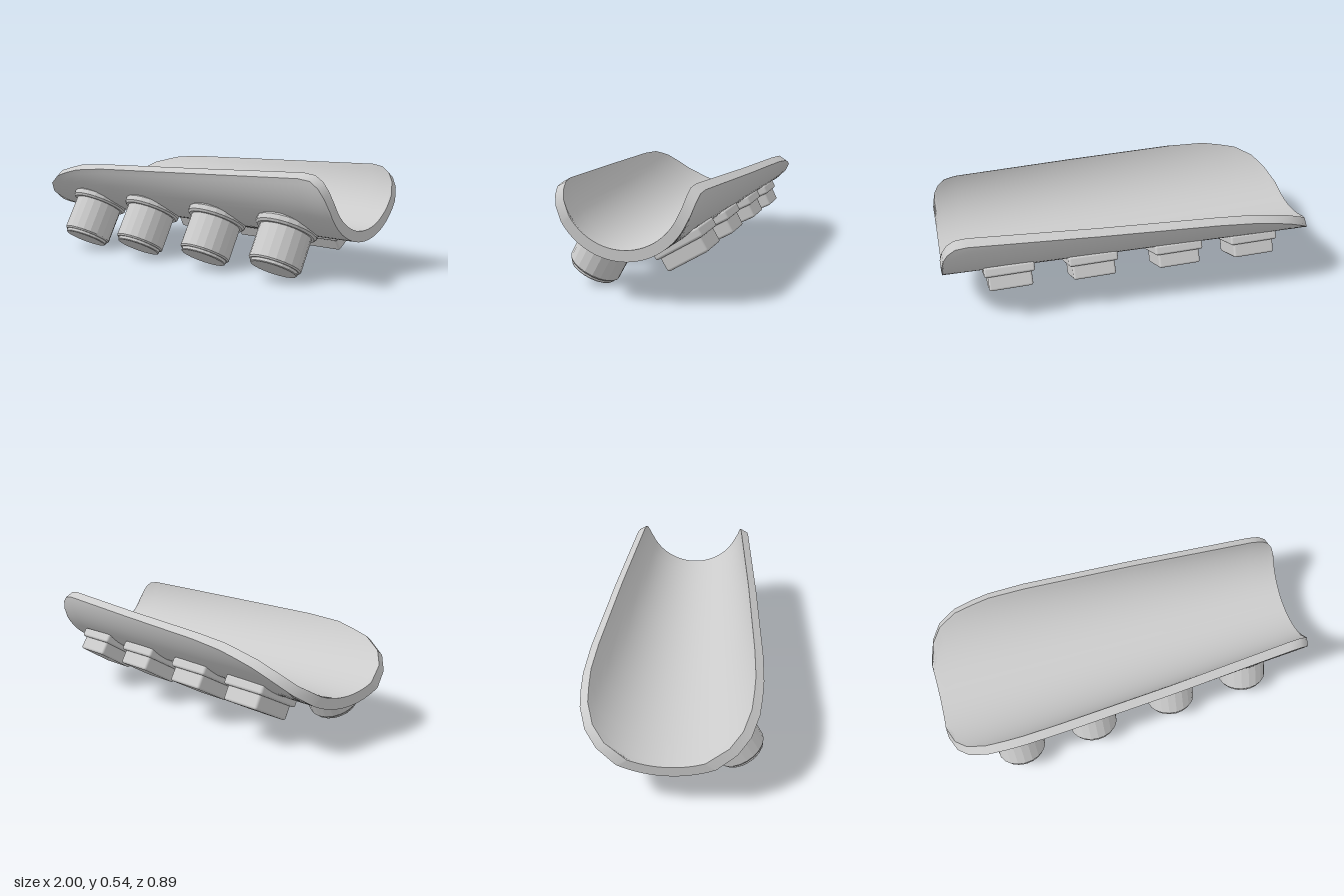
import * as THREE from 'three';
import { toCreasedNormals } from 'three/addons/utils/BufferGeometryUtils.js';
import { RoundedBoxGeometry } from 'three/addons/geometries/RoundedBoxGeometry.js';

const BOTTOM = 0.197, INNER_BOTTOM = 0.25, MID_Z = -0.01;
const outerRadius = (x) => 0.334 + (1 - x) * 0.0975;
const grey = new THREE.MeshStandardMaterial({ color: 0xcccccc });
const greyFlat = new THREE.MeshStandardMaterial({ color: 0xcccccc, flatShading: true });

// Tapered half-tube: [x, outer rim height, inner rim height] along its length
function troughGeometry() {
  const stations = [
    [-1, 0.25, 0.285], [-0.96, 0.31, 0.345], [-0.9, 0.368, 0.4], [-0.8, 0.42, 0.45],
    [-0.7, 0.447, 0.474], [-0.6, 0.468, 0.495], [-0.4, 0.485, 0.508], [0.2, 0.5, 0.523],
    [0.86, 0.516, 0.541], [0.92, 0.507, 0.532], [0.96, 0.475, 0.503], [0.985, 0.43, 0.46], [1, 0.365, 0.395],
  ];
  const N = 40, ring = 2 * (N + 1), pos = [], idx = [];
  const arcPoint = (x, r, base, top, t) => {
    const a = Math.acos(1 - (top - base) / r) * t;
    pos.push(x, base + r * (1 - Math.cos(a)), MID_Z + r * Math.sin(a));
  };
  for (const [x, ho, hi] of stations) {
    const r = outerRadius(x);
    for (let j = 0; j <= N; j++) arcPoint(x, r, BOTTOM, ho, (2 * j) / N - 1);
    for (let j = N; j >= 0; j--) arcPoint(x, r - 0.045, INNER_BOTTOM, hi, (2 * j) / N - 1);
  }
  for (let i = 0; i < stations.length - 1; i++) {
    for (let j = 0; j < ring; j++) {
      const k = (j + 1) % ring;
      const a = i * ring + j, b = a + ring, c = i * ring + k, d = c + ring;
      idx.push(a, b, d, a, d, c);
    }
  }
  // End faces
  const last = (stations.length - 1) * ring;
  for (let j = 0; j < N; j++) {
    const o = j, p = j + 1, n = ring - 1 - j, m = n - 1;
    idx.push(o, p, n, p, m, n);
    idx.push(last + o, last + n, last + p, last + p, last + n, last + m);
  }
  const geo = new THREE.BufferGeometry();
  geo.setAttribute('position', new THREE.Float32BufferAttribute(pos, 3));
  geo.setIndex(idx);
  return toCreasedNormals(geo, 0.5);
}

// Group whose local +y points radially out of the trough, origin on its outer surface
function mount(name, x, angle) {
  const g = new THREE.Group();
  const r = outerRadius(x);
  g.name = name;
  g.position.set(x, BOTTOM + r * (1 - Math.cos(angle)), MID_Z + r * Math.sin(angle));
  g.rotation.x = Math.PI - angle;
  return g;
}

function lathe(name, points) {
  const geo = new THREE.LatheGeometry(points.map(([r, y]) => new THREE.Vector2(r, y)), 20);
  const m = new THREE.Mesh(geo, greyFlat);
  m.name = name;
  return m;
}

function block(name, size, y0, y1, radius) {
  const m = new THREE.Mesh(new RoundedBoxGeometry(size, y1 - y0, size, 2, radius), grey);
  m.name = name;
  m.position.y = (y0 + y1) / 2;
  return m;
}

export function createModel() {
  const model = new THREE.Group();
  model.name = 'troughWithKnobs';

  const trough = new THREE.Mesh(troughGeometry(), grey);
  trough.name = 'trough';
  model.add(trough);

  const rad = THREE.MathUtils.degToRad;
  [-0.64, -0.22, 0.24, 0.675].forEach((x, i) => {
    // Round knob on the front: collar, body and stepped end disc
    const end = 0.228 - i * 0.006;
    const knob = mount('roundKnob', x, rad(29));
    knob.add(
      lathe('knobCollar', [[0, -0.03], [0.148, -0.03], [0.156, -0.02], [0.156, 0.005], [0.146, 0.016], [0, 0.016]]),
      lathe('knobBody', [[0.132, 0], [0.132, end - 0.026], [0.126, end - 0.018], [0, end - 0.018]]),
      lathe('knobEnd', [[0.119, end - 0.02], [0.119, end - 0.004], [0.115, end], [0, end]]),
    );
    model.add(knob);

    // Square block on the back: base plate and raised body
    const square = mount('squareBlock', x - 0.01, -rad(25.5 + i * 1.7));
    square.add(
      block('blockPlate', 0.26, -0.02, 0.03, 0.012),
      block('blockBody', 0.226, 0, 0.103, 0.012),
    );
    model.add(square);
  });
  return model;
}
